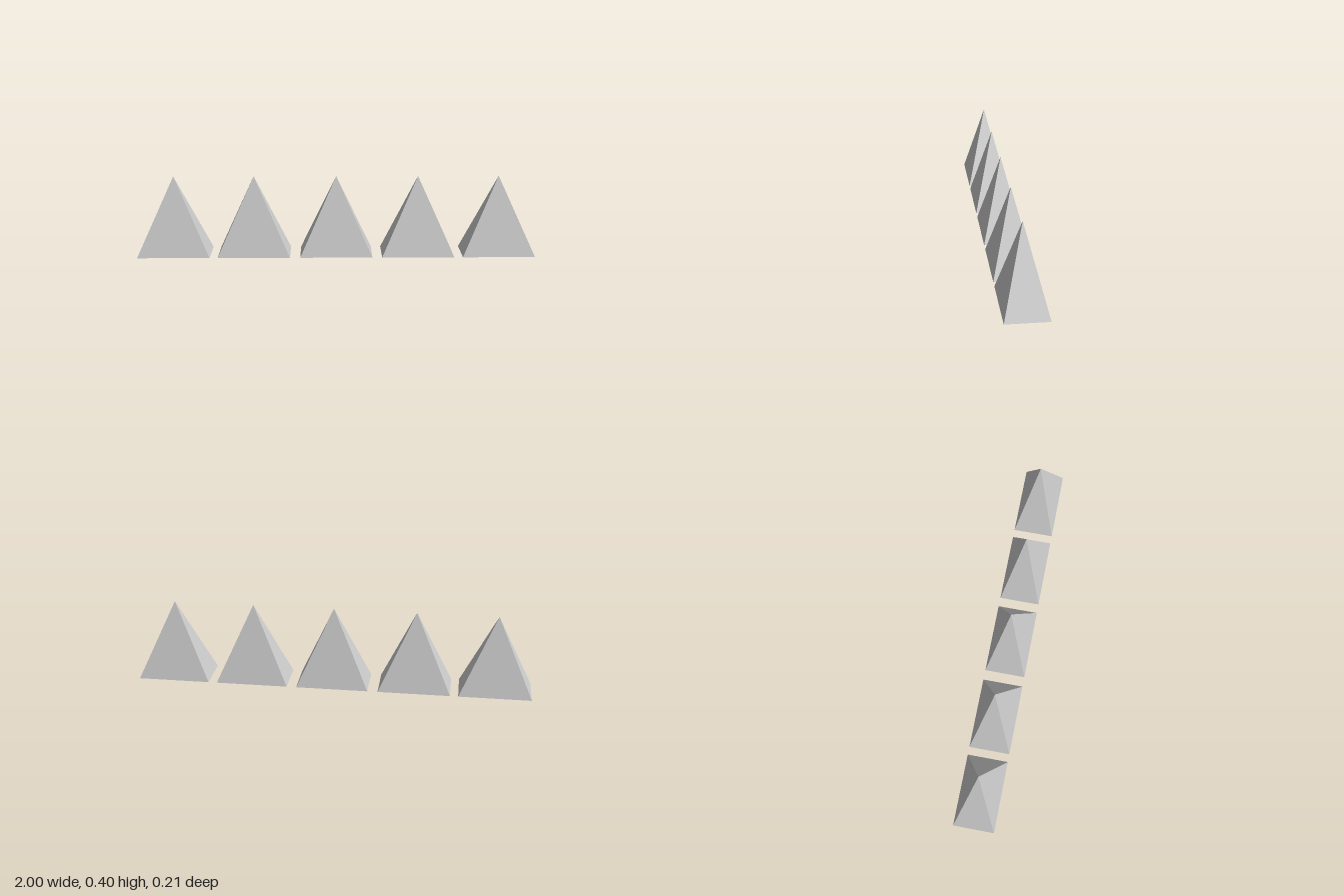
import * as THREE from 'three';

const WIDTH = 0.363, HEIGHT = 0.397, DEPTH = 0.206;

export function createModel() {
  const group = new THREE.Group();
  group.name = 'pyramidRow';
  const material = new THREE.MeshStandardMaterial({ color: 0xcccccc, flatShading: true });

  // Four-sided cone turned to a unit square base, stretched to a rectangle, standing on y = 0
  const geometry = new THREE.ConeGeometry(Math.SQRT1_2, 1, 4)
    .rotateY(Math.PI / 4)
    .translate(0, 0.5, 0)
    .scale(WIDTH, HEIGHT, DEPTH);

  // Row of five separate pyramids
  [-0.8185, -0.415, 0, 0.412, 0.8185].forEach((x, i) => {
    const pyramid = new THREE.Mesh(geometry, material);
    pyramid.name = `pyramid${i + 1}`;
    pyramid.position.x = x;
    group.add(pyramid);
  });

  return group;
}
